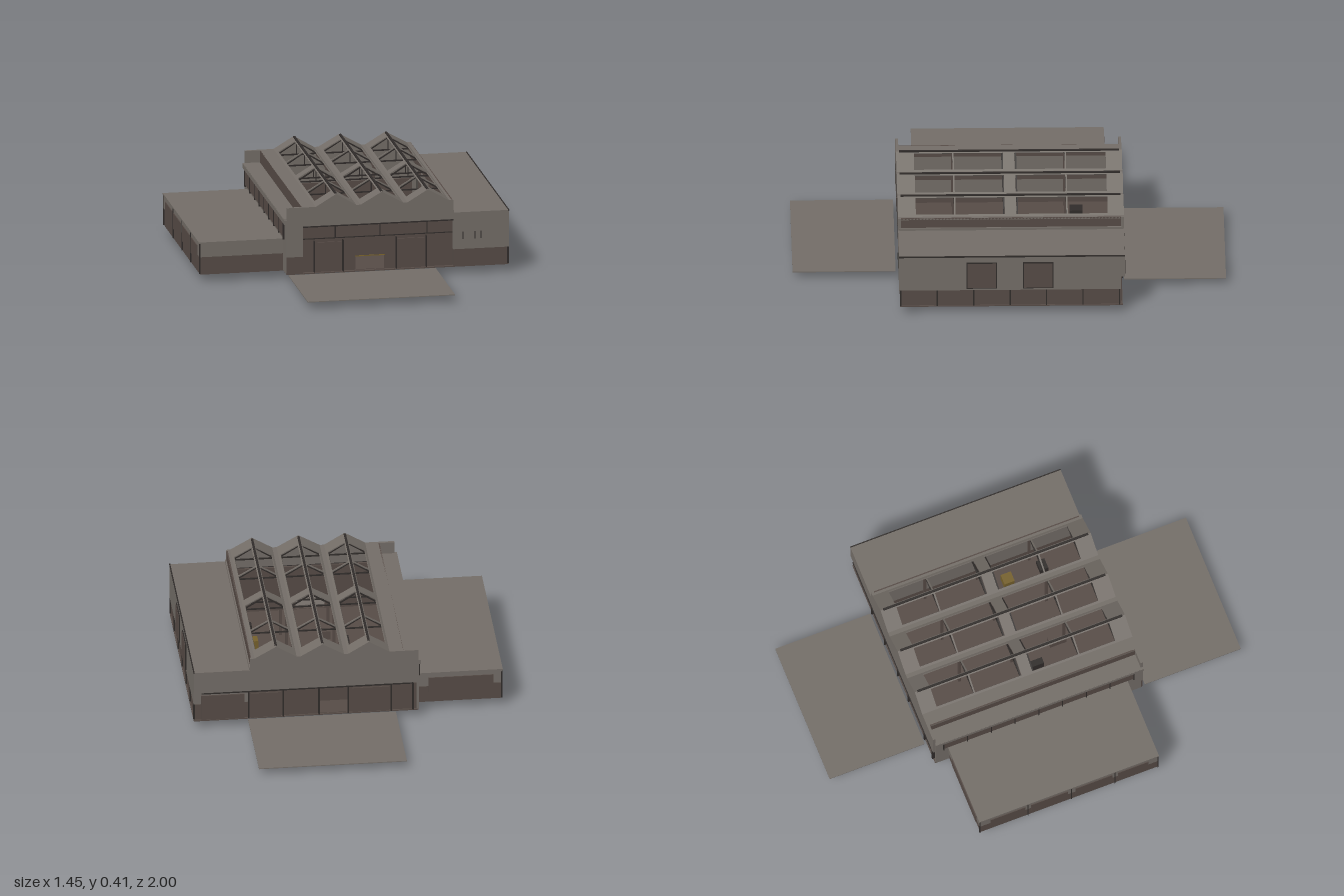
import * as THREE from 'three';

const mat = (name, color) => {
  const m = new THREE.MeshStandardMaterial({ color, side: THREE.DoubleSide });
  m.name = name;
  return m;
};

export function createModel() {
  const root = new THREE.Group();
  root.name = 'factoryHall';
  const light = mat('warmGrey', 0x736d67);
  const dark = mat('darkBrown', 0x564b46);
  const trim = mat('charcoal', 0x302c2a);
  const ochre = mat('ochre', 0x75602c);

  const add = (name, geo, m) => {
    const mesh = new THREE.Mesh(geo, m);
    mesh.name = name;
    root.add(mesh);
    return mesh;
  };
  // box given by its limits on each axis
  const box = (name, m, x0, x1, y0, y1, z0, z1) => {
    const mesh = add(name, new THREE.BoxGeometry(x1 - x0, y1 - y0, z1 - z0), m);
    mesh.position.set((x0 + x1) / 2, (y0 + y1) / 2, (z0 + z1) / 2);
    return mesh;
  };
  // slim bar between two points
  const bar = (name, m, a, b, t = 0.006) => {
    const p = new THREE.Vector3(...a), q = new THREE.Vector3(...b);
    const mesh = add(name, new THREE.BoxGeometry(t, t, p.distanceTo(q)), m);
    mesh.position.copy(p).add(q).multiplyScalar(0.5);
    mesh.lookAt(q);
    return mesh;
  };
  const rectHole = (x0, x1, y0, y1) => new THREE.Path([[x0, y0], [x0, y1], [x1, y1], [x1, y0]]
    .map(p => new THREE.Vector2(...p)));
  const plate = (name, m, pts, holes, z0, depth) => {
    const s = new THREE.Shape(pts.map(p => new THREE.Vector2(...p)));
    s.holes.push(...holes);
    const mesh = add(name, new THREE.ExtrudeGeometry(s, { depth, bevelEnabled: false }), m);
    mesh.position.z = z0;
    return mesh;
  };

  const F = 0.04;                                  // floor level
  const EAVE = 0.355, RIDGE = 0.412;
  const roofs = [[-0.19, -0.095, 0], [0.02, 0.12, 0.22], [0.24, 0.335, 0.435]];

  // Ground slabs and service pit
  box('frontApron', light, -0.32, 0.37, 0.034, 0.038, 0.52, 0.995);
  box('backApron', light, -0.22, 0.465, 0.034, 0.038, -1, -0.53);
  box('hallFloor', dark, -0.325, 0.715, 0.035, F, -0.52, 0.505);
  box('pit', light, -0.18, -0.10, 0, 0.035, -0.29, 0.28);
  box('pitStep', light, -0.10, -0.045, 0, 0.035, -0.29, 0.13);

  // Gabled end walls
  const crest = [[0.455, EAVE]];
  [...roofs].reverse().forEach(([a, r, b]) => crest.push([b, EAVE], [r, RIDGE], [a, EAVE]));
  crest.push([-0.325, EAVE]);
  plate('frontGable', light, [[-0.325, 0.12], [-0.25, 0.12], [-0.25, 0.262], [0.455, 0.262], ...crest], [], 0.497, 0.013);
  plate('backGable', light, [[-0.325, 0.185], [0.455, 0.185], ...crest], [], -0.53, 0.013);
  const lowerWall = (name, x0, x1, top, z) => plate(name, dark,
    [[x0, F], [x1, F], [x1, top], [x0, top]], [rectHole(0, 0.135, F + 0.002, 0.105)], z, 0.01);
  lowerWall('frontRecessedWall', -0.25, 0.455, 0.265, 0.478);
  lowerWall('backRecessedWall', -0.325, 0.46, 0.19, -0.512);
  box('frontPierBase', dark, -0.325, -0.25, F, 0.12, 0.495, 0.507);
  box('pierReturn', light, -0.256, -0.25, F, 0.262, 0.478, 0.497);

  // Front doors, clerestory mullions and lintels
  box('frontLintel', trim, -0.25, 0.455, 0.258, 0.264, 0.488, 0.512);
  box('clerestorySill', trim, -0.25, 0.455, 0.196, 0.2, 0.486, 0.492);
  for (const x of [-0.095, 0.115, 0.335]) box('clerestoryMullion', trim, x - 0.002, x + 0.002, 0.2, 0.26, 0.486, 0.494);
  for (const x of [-0.195, -0.06, 0.19, 0.33]) box('doorPost', trim, x - 0.002, x + 0.002, F, 0.19, 0.486, 0.505);
  for (const [a, b] of [[-0.19, -0.065], [0.195, 0.325]]) box('frontDoor', dark, a, b, F, 0.18, 0.487, 0.494);
  box('doorwayHead', ochre, -0.002, 0.137, 0.104, 0.108, 0.486, 0.492);
  // Back canopy and door posts
  box('backCanopy', trim, -0.3, 0.68, 0.182, 0.187, -0.534, -0.51);
  for (const x of [-0.3, -0.2, 0, 0.135, 0.3, 0.46]) box('backPost', trim, x - 0.003, x + 0.003, F, 0.185, -0.526, -0.511);
  for (const [a, b] of [[-0.19, -0.02], [0.31, 0.45], [0.48, 0.68]]) box('backDoor', dark, a, b, F, 0.165, -0.518, -0.511);

  // Side walls of the hall and low west aisle
  box('westAisleRoof', light, -0.335, -0.25, 0.29, 0.298, -0.517, 0.497);
  box('westWall', light, -0.328, -0.318, F, 0.29, -0.517, 0.497);
  box('westWindowBand', dark, -0.333, -0.328, 0.205, 0.27, -0.48, 0.46);
  box('westGutter', light, -0.337, -0.325, 0.275, 0.297, -0.52, 0.51);
  for (let i = 0; i <= 8; i++) {
    const z = -0.48 + i * 0.1175;
    box('westMullion', trim, -0.336, -0.328, 0.195, 0.275, z - 0.002, z + 0.002);
  }
  box('westUpstand', dark, -0.256, -0.25, 0.295, EAVE, -0.517, 0.497);
  box('eastUpstand', dark, 0.447, 0.453, 0.29, EAVE, -0.517, 0.497);
  box('eastFlashing', light, 0.452, 0.459, 0.295, 0.307, -0.525, 0.505);

  // Flat roof strips between the ridges
  for (const [a, b] of [[-0.256, -0.19], [0, 0.02], [0.22, 0.24], [0.435, 0.453]])
    box('roofValley', light, a, b, EAVE - 0.008, EAVE, -0.517, 0.497);

  // Pitched roofs with open rooflights
  const bays = [[-0.455, -0.272], [-0.265, -0.035], [0.018, 0.245], [0.252, 0.428]];
  const slope = (xe, xr) => {
    const dx = xr - xe, dy = RIDGE - EAVE, len = Math.hypot(dx, dy);
    const holes = bays.map(([a, b]) => rectHole(len * 0.1, len * 0.89, a, b));
    const s = plate('roofSlope', light, [[0, -0.517], [len, -0.517], [len, 0.497], [0, 0.497]], holes, 0, 0.005);
    const u = new THREE.Vector3(dx / len, dy / len, 0), v = new THREE.Vector3(0, 0, 1);
    const n = new THREE.Vector3().crossVectors(u, v);
    s.geometry.translate(0, 0, n.y > 0 ? -0.005 : 0);
    s.geometry.applyMatrix4(new THREE.Matrix4().makeBasis(u, v, n).setPosition(xe, EAVE, 0));
  };
  for (const [a, r, b] of roofs) {
    slope(a, r);
    slope(b, r);
    box('ridgeCap', trim, r - 0.005, r + 0.005, RIDGE - 0.004, RIDGE + 0.003, -0.517, 0.497);
    // Steel trusses at the bay lines
    for (const z of [-0.46, -0.268, -0.04, 0.022, 0.248, 0.432]) {
      const y = EAVE - 0.012;
      bar('trussTie', trim, [a, y, z], [b, y, z]);
      bar('trussRafter', trim, [a, y, z], [r, RIDGE - 0.008, z]);
      bar('trussRafter', trim, [b, y, z], [r, RIDGE - 0.008, z]);
      bar('trussPost', trim, [r, y, z], [r, RIDGE - 0.008, z], 0.004);
    }
  }
  // Hall columns and crane beams under the valleys
  for (const x of [-0.25, 0.01, 0.23, 0.445]) {
    box('valleyBeam', dark, x - 0.005, x + 0.005, 0.32, 0.347, -0.51, 0.48);
    for (const z of [-0.268, -0.01, 0.248]) box('column', dark, x - 0.006, x + 0.006, F, 0.32, z - 0.006, z + 0.006);
  }
  // Machines on the hall floor
  box('machine', trim, -0.18, -0.12, F, 0.08, -0.35, -0.29);
  box('machine', trim, -0.07, -0.04, F, 0.09, 0.06, 0.12);
  box('machine', ochre, 0.35, 0.4, F, 0.1, 0.09, 0.14);
  box('machine', trim, 0.36, 0.41, F, 0.08, 0.27, 0.31);
  box('workbench', dark, 0.005, 0.045, F, 0.08, 0.18, 0.26);

  // Tall east wing
  box('eastWing', light, 0.455, 0.715, 0.185, 0.295, -0.53, 0.51);
  box('eastWingMiddle', light, 0.455, 0.715, 0.12, 0.185, -0.512, 0.51);
  box('eastWingBase', dark, 0.457, 0.709, 0.036, 0.12, -0.512, 0.505);
  box('eastRoofEdge', trim, 0.712, 0.717, 0.291, 0.297, -0.53, 0.511);
  for (let i = 0; i <= 6; i++) {
    const z = -0.505 + i * 0.168;
    box('eastBasePost', trim, 0.708, 0.716, F, 0.12, z - 0.003, z + 0.003);
  }
  for (const z of [0.13, -0.13]) {
    box('eastWindowFrame', trim, 0.714, 0.72, 0.13, 0.264, z - 0.07, z + 0.07);
    box('eastWindow', dark, 0.716, 0.722, 0.134, 0.26, z - 0.066, z + 0.066);
  }
  for (const x of [0.5, 0.555, 0.585]) box('ventSlot', trim, x - 0.002, x + 0.002, 0.168, 0.202, 0.508, 0.513);

  // Low west wing
  box('westWing', light, -0.72, -0.328, 0.12, 0.186, -0.455, 0.43);
  box('westWingBase', dark, -0.716, -0.328, 0.036, 0.12, -0.45, 0.426);
  box('westWingRoof', light, -0.723, -0.328, 0.184, 0.191, -0.457, 0.432);
  for (const [z0, z1] of [[-0.4, -0.23], [-0.2, -0.02], [0.02, 0.2], [0.23, 0.38]])
    box('westWingWindow', dark, -0.724, -0.718, 0.09, 0.165, z0, z1);
  for (const z of [-0.453, -0.215, 0, 0.215, 0.428]) box('westWingPost', trim, -0.722, -0.715, F, 0.184, z - 0.002, z + 0.002);
  box('westWingBackWindow', dark, -0.68, -0.38, 0.09, 0.165, -0.459, -0.453);
  return root;
}
